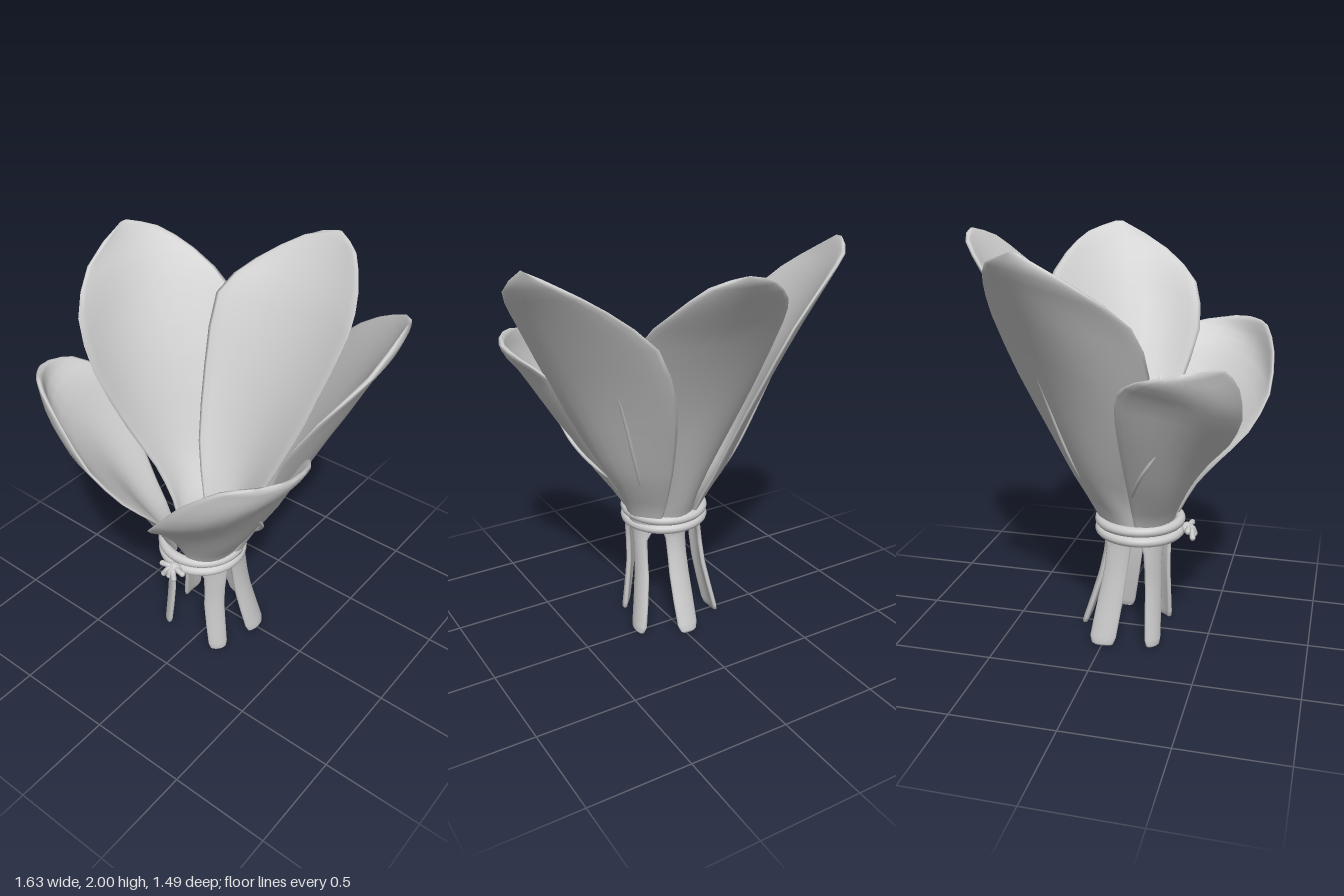
import * as THREE from 'three';

const V = (p) => new THREE.Vector3(...p);
const mat = new THREE.MeshStandardMaterial({ color: 0xcccccc, side: THREE.DoubleSide });

// Leaf sections from stem foot to tip: [one edge, spine, other edge]
const backRows = [
  [[-0.045, 0, -0.145], [-0.015, 0, -0.15], [0.015, 0, -0.145]],
  [[-0.07, 0.04, -0.125], [-0.015, 0.04, -0.135], [0.04, 0.04, -0.125]],
  [[-0.07, 0.3, -0.04], [-0.015, 0.3, -0.055], [0.04, 0.3, -0.04]],
  [[-0.07, 0.5, 0], [-0.015, 0.5, -0.02], [0.04, 0.5, 0]],
  [[-0.12, 0.62, 0.01], [-0.015, 0.62, -0.045], [0.09, 0.62, 0.01]],
  [[-0.15, 0.75, 0], [-0.01, 0.75, -0.1], [0.13, 0.75, 0]],
  [[-0.24, 1, -0.08], [0, 1, -0.19], [0.23, 1, -0.09]],
  [[-0.32, 1.35, -0.23], [0.02, 1.33, -0.32], [0.34, 1.35, -0.23]],
  [[-0.36, 1.68, -0.38], [0.03, 1.66, -0.5], [0.395, 1.68, -0.4]],
  [[-0.25, 1.83, -0.55], [0.05, 1.84, -0.63], [0.34, 1.83, -0.55]],
  [[-0.07, 1.95, -0.7], [0.08, 1.96, -0.72], [0.24, 1.95, -0.67]],
  [[0.09, 2, -0.745], [0.1, 2, -0.745], [0.11, 2, -0.745]],
];
const sideRows = [
  [[0.205, 0, -0.035], [0.215, 0, 0.005], [0.2, 0, 0.045]],
  [[0.19, 0.04, -0.06], [0.205, 0.04, 0.005], [0.19, 0.04, 0.07]],
  [[0.145, 0.3, -0.01], [0.165, 0.3, 0.05], [0.15, 0.3, 0.11]],
  [[0.135, 0.5, 0.02], [0.155, 0.5, 0.08], [0.145, 0.5, 0.14]],
  [[0.075, 0.64, -0.035], [0.165, 0.64, 0.08], [0.15, 0.62, 0.165]],
  [[0.1, 0.85, -0.15], [0.26, 0.85, 0], [0.205, 0.75, 0.155]],
  [[0.13, 1.05, -0.245], [0.345, 1.03, -0.03], [0.31, 0.92, 0.165]],
  [[0.2, 1.37, -0.385], [0.485, 1.35, -0.06], [0.43, 1.15, 0.24]],
  [[0.33, 1.66, -0.45], [0.63, 1.62, -0.08], [0.55, 1.46, 0.325]],
  [[0.54, 1.84, -0.4], [0.72, 1.8, -0.11], [0.68, 1.69, 0.28]],
  [[0.71, 1.94, -0.32], [0.785, 1.91, -0.12], [0.785, 1.85, 0.1]],
  [[0.8, 1.99, -0.19], [0.8, 1.99, -0.17], [0.8, 1.99, -0.15]],
];
const frontRows = [
  [[0.165, 0, 0.225], [0.15, 0, 0.25], [0.125, 0, 0.27]],
  [[0.165, 0.04, 0.205], [0.145, 0.04, 0.25], [0.105, 0.04, 0.28]],
  [[0.145, 0.3, 0.2], [0.12, 0.3, 0.24], [0.075, 0.3, 0.275]],
  [[0.155, 0.5, 0.19], [0.125, 0.5, 0.24], [0.08, 0.5, 0.28]],
  [[0.165, 0.64, 0.14], [0.12, 0.64, 0.27], [0.01, 0.64, 0.325]],
  [[0.275, 0.85, 0.13], [0.25, 0.84, 0.34], [0, 0.8, 0.41]],
  [[0.375, 1.05, 0.12], [0.36, 1.03, 0.41], [-0.01, 0.93, 0.52]],
  [[0.48, 1.25, 0.12], [0.46, 1.2, 0.48], [0.07, 1.06, 0.65]],
  [[0.565, 1.4, 0.15], [0.54, 1.34, 0.55], [0.2, 1.22, 0.73]],
  [[0.66, 1.48, 0.27], [0.6, 1.43, 0.56], [0.35, 1.4, 0.73]],
  [[0.68, 1.51, 0.42], [0.63, 1.5, 0.55], [0.5, 1.51, 0.68]],
  [[0.63, 1.53, 0.56], [0.62, 1.53, 0.58], [0.6, 1.53, 0.6]],
];

// Position and outward normal anywhere on a leaf: t along, s across (-1..1)
function leafSurface(rows, flip) {
  const [a, m, b] = [0, 1, 2].map((c) =>
    new THREE.CatmullRomCurve3(rows.map((r) => V(r[c])), false, 'catmullrom', 0.4));
  const point = (t, s) => {
    const L = a.getPoint(t), M = m.getPoint(t), R = b.getPoint(t);
    const bend = L.clone().add(R).multiplyScalar(0.5).sub(M);
    return M.addScaledVector(R.sub(L), s / 2).addScaledVector(bend, s * s);
  };
  const normal = (t, s) => {
    t = THREE.MathUtils.clamp(t, 0.02, 0.95);
    const e = 0.005;
    const dt = point(t + e, s).sub(point(t - e, s));
    const ds = point(t, s + e).sub(point(t, s - e));
    return dt.cross(ds).normalize().multiplyScalar(flip ? -1 : 1);
  };
  return { point, normal };
}

// Solid leaf with stem: rounded thin section lofted from foot to tip
function leafGeometry({ point, normal }, flip) {
  const rows = 22, n = 24, half = 0.015, pos = [], idx = [];
  for (let i = 0; i <= rows; i++) {
    const t = i / rows;
    const h = half * Math.min(1, 0.4 + t * 12, (1 - t) * 20);
    for (let k = 0; k < n; k++) {
      const th = (k / n) * Math.PI * 2, s = -Math.cos(th), q = Math.sin(th);
      const off = h * Math.sign(q) * Math.sqrt(Math.abs(q));
      pos.push(...point(t, s).addScaledVector(normal(t, s), off).toArray());
      if (i === rows) continue;
      const p = i * n + k, r = i * n + ((k + 1) % n);
      if (flip) idx.push(p, r, p + n, r, r + n, p + n);
      else idx.push(p, p + n, r, r, p + n, r + n);
    }
  }
  // Foot cap
  for (let k = 1; k < n - 1; k++) idx.push(0, ...(flip ? [k + 1, k] : [k, k + 1]));
  const g = new THREE.BufferGeometry();
  g.setAttribute('position', new THREE.Float32BufferAttribute(pos, 3));
  g.setIndex(idx);
  g.computeVertexNormals();
  return g;
}

function add(parent, name, geometry) {
  const mesh = new THREE.Mesh(geometry, mat);
  mesh.name = name;
  parent.add(mesh);
  return mesh;
}

// Narrow midrib rising out of the outer face and sinking back at both ends
function addRib(parent, { point, normal }, [t0, s0], [t1, s1], lift) {
  const pts = [];
  for (let i = 0; i <= 8; i++) {
    const u = i / 8, t = t0 + (t1 - t0) * u, s = s0 + (s1 - s0) * u;
    pts.push(point(t, s).addScaledVector(normal(t, s), 0.003 + lift * Math.sin(Math.PI * u)));
  }
  add(parent, 'leafRib', new THREE.TubeGeometry(new THREE.CatmullRomCurve3(pts), 16, 0.009, 8));
}

export function createModel() {
  const model = new THREE.Group();
  model.name = 'leafBundle';

  // Five leaves: one at the back, a pair at the sides, a shorter pair in front
  const mapRows = (rows, f) => rows.map((r) => r.map((p) => f(...p)));
  const rightSide = mapRows(sideRows, (x, y, z) => [-x - 0.04 * (1 - y / 2), y, z - 0.02 * y]);
  const rightFront = mapRows(frontRows, (x, y, z) => [-x * 1.03 - 0.05, y, 0.25 + (z - 0.25) * 0.84]);
  const sideRib = [[0.45, -0.45], [0.655, -0.47], 0.012];
  const frontRib = [[0.45, -0.9], [0.575, -0.4], 0.022];
  const leaves = [
    ['backLeaf', backRows, false],
    ['leftSideLeaf', sideRows, false, sideRib],
    ['rightSideLeaf', rightSide, true, sideRib],
    ['leftFrontLeaf', frontRows, false, frontRib],
    ['rightFrontLeaf', rightFront, true, frontRib],
  ];
  for (const [name, rows, flip, rib] of leaves) {
    const group = new THREE.Group();
    group.name = name;
    const surf = leafSurface(rows, flip);
    add(group, 'leafBlade', leafGeometry(surf, flip));
    if (rib) addRib(group, surf, ...rib);
    model.add(group);
  }

  // Two turns of cord round the stems
  const tie = new THREE.Group();
  tie.name = 'tie';
  for (const [y, tilt] of [[0.567, 0.01], [0.618, -0.01]]) {
    const ring = add(tie, 'cordRing', new THREE.TorusGeometry(0.2, 0.025, 12, 48));
    ring.rotation.x = Math.PI / 2 + tilt;
    ring.position.set(-0.035, y, 0.145);
  }

  // Small knot with splayed ends
  const knot = add(tie, 'knot', new THREE.SphereGeometry(0.028, 12, 8));
  knot.scale.set(1.4, 1, 1);
  knot.position.set(-0.025, 0.58, 0.378);
  for (const [dx, dy, dz] of [[-0.065, 0.005, 0.02], [0.065, 0.005, 0.02], [-0.04, -0.035, 0.04], [0.025, -0.035, 0.04], [-0.005, -0.03, 0.04]]) {
    const curve = new THREE.CatmullRomCurve3([
      V([-0.025, 0.585, 0.375]),
      V([-0.025 + dx * 0.5, 0.588 + dy * 0.3, 0.38 + dz * 0.6]),
      V([-0.025 + dx, 0.58 + dy, 0.375 + dz]),
    ]);
    add(tie, 'cordEnd', new THREE.TubeGeometry(curve, 8, 0.014, 8));
    add(tie, 'cordTip', new THREE.SphereGeometry(0.015, 8, 6)).position.copy(curve.getPoint(1));
  }
  model.add(tie);
  return model;
}
